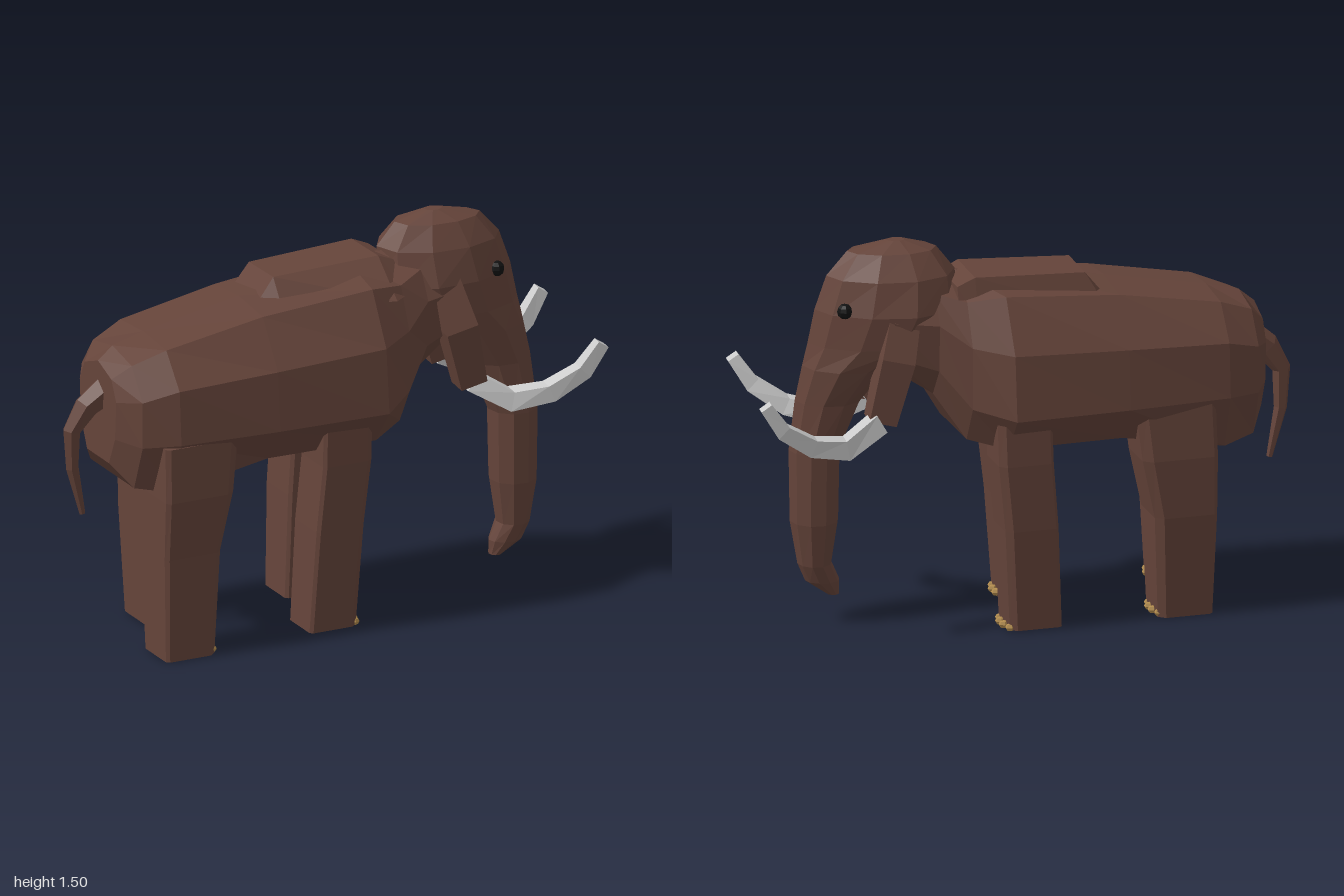
import * as THREE from 'three';

const paint = (color) => new THREE.MeshStandardMaterial({ color, flatShading: true, roughness: 0.9 });

// Skin a closed solid over rings of [x, y, z] points, capped at both ends and wound outwards.
function loft(name, rings, material) {
  const n = rings[0].length, last = (rings.length - 1) * n;
  const pos = rings.flat(), index = [];
  for (let i = 0; i < rings.length - 1; i++) {
    for (let j = 0; j < n; j++) {
      const a = i * n + j, b = i * n + (j + 1) % n;
      index.push(a, b, a + n, b, b + n, a + n);
    }
  }
  for (const [base, flip] of [[0, true], [last, false]]) {
    const ring = rings[base / n];
    pos.push([0, 1, 2].map((k) => ring.reduce((s, p) => s + p[k], 0) / n));
    const c = pos.length - 1;
    for (let j = 0; j < n; j++) {
      const a = base + j, b = base + (j + 1) % n;
      index.push(...(flip ? [c, b, a] : [c, a, b]));
    }
  }
  // signed volume tells whether the faces look inwards
  let volume = 0;
  const v = pos.map((p) => new THREE.Vector3(...p));
  for (let i = 0; i < index.length; i += 3) {
    volume += v[index[i]].dot(v[index[i + 1]].clone().cross(v[index[i + 2]]));
  }
  if (volume < 0) index.reverse();
  const geo = new THREE.BufferGeometry();
  geo.setAttribute('position', new THREE.Float32BufferAttribute(pos.flat(), 3));
  geo.setIndex(index);
  geo.computeVertexNormals();
  const mesh = new THREE.Mesh(geo, material);
  mesh.name = name;
  return mesh;
}

// Tapering limb along [x, y, z, radius] points that run mostly in the yz plane.
function taper(name, path, sides, material) {
  const rings = path.map(([x, y, z, r], i) => {
    const p = path[Math.max(i - 1, 0)], q = path[Math.min(i + 1, path.length - 1)];
    const len = Math.hypot(q[1] - p[1], q[2] - p[2]);
    const ny = (q[2] - p[2]) / len, nz = -(q[1] - p[1]) / len;
    return Array.from({ length: sides }, (_, j) => {
      const t = ((j + 0.5) / sides) * Math.PI * 2;
      const up = Math.sin(t) * r;
      return [x + Math.cos(t) * r, y + up * ny, z + up * nz];
    });
  });
  return loft(name, rings, material);
}

export function createModel() {
  const hide = paint(0x65443a), ivory = paint(0xcccccc);
  const horn = paint(0xb08a4c), black = paint(0x111111);
  const model = new THREE.Group();

  // The animal stands turned away; its head turns a little further
  const body = new THREE.Group();
  body.name = 'body';
  body.position.set(-0.039, 0, -0.022);
  body.rotation.y = THREE.MathUtils.degToRad(150);
  const head = new THREE.Group();
  head.name = 'head';
  head.position.set(-0.085, 0, -0.065);
  head.rotation.y = THREE.MathUtils.degToRad(144);
  model.add(body, head);

  // Torso and neck: z, top, then [x, y] of shoulder, side, crease and belly
  const torso = [
    [-1.04, 1.14, [0.11, 1.1], [0.15, 1.02], [0.14, 0.87], [0.09, 0.76]],
    [-0.98, 1.19, [0.16, 1.16], [0.25, 1.04], [0.25, 0.86], [0.18, 0.68]],
    [-0.85, 1.225, [0.19, 1.21], [0.3, 1.08], [0.315, 0.87], [0.24, 0.66]],
    [-0.45, 1.3, [0.2, 1.28], [0.325, 1.1], [0.345, 0.87], [0.24, 0.73]],
    [0.0, 1.37, [0.22, 1.32], [0.335, 1.12], [0.36, 0.87], [0.25, 0.73]],
    [0.14, 1.38, [0.18, 1.3], [0.25, 1.14], [0.25, 0.9], [0.17, 0.76]],
    [0.25, 1.39, [0.13, 1.33], [0.19, 1.22], [0.18, 1.04], [0.1, 0.93]],
    [0.42, 1.4, [0.1, 1.35], [0.17, 1.24], [0.15, 1.1], [0.07, 1.04]],
  ];
  body.add(loft('torso', torso.map(([z, top, ...half]) => [
    [0, top, z],
    ...half.map(([x, y]) => [x, y, z]),
    ...half.slice().reverse().map(([x, y]) => [-x, y, z]),
  ]), hide));

  // Shoulder hump, steep on the left and sloping into the right shoulder:
  // z, top, right crest x, right foot x
  const hump = [[-0.4, 1.285, -0.06, -0.1], [-0.33, 1.37, -0.05, -0.13], [0.1, 1.39, -0.07, -0.23], [0.17, 1.36, -0.06, -0.18]];
  body.add(loft('shoulderHump', hump.map(([z, top, crest, foot]) => [
    [crest, top, z], [0.15, top - 0.005, z], [0.19, 1.24, z], [foot, 1.26, z],
  ]), hide));

  // Legs: a squarish section with cut corners, and toenails along the front.
  // Rows: y, x (0 keeps the foot's own), z shift, half width, half depth
  const corners = [[1, 0.75], [0.75, 1], [-0.75, 1], [-1, 0.75], [-1, -0.88], [-0.88, -1], [0.88, -1], [1, -0.88]];
  const hind = [[0.015, 0, 0, 0.095, 0.105], [0.42, 0.205, 0.01, 0.112, 0.12],
    [0.65, 0.21, 0.035, 0.118, 0.145], [0.86, 0.205, 0.05, 0.11, 0.155]];
  const fore = [[0.02, 0, 0, 0.09, 0.1], [0.42, 0.205, 0.025, 0.1, 0.102],
    [0.68, 0.215, 0.05, 0.1, 0.105], [0.86, 0.215, 0.055, 0.095, 0.105]];
  for (const [name, side, foot, z0, rows] of [
    ['hindLegLeft', 1, 0.175, -0.69, hind], ['hindLegRight', -1, 0.22, -0.805, hind],
    ['frontLegLeft', 1, 0.18, -0.105, fore], ['frontLegRight', -1, 0.2, -0.195, fore],
  ]) {
    body.add(loft(name, rows.map(([y, x, dz, w, d]) =>
      corners.map(([cx, cz]) => [side * (x || foot) + cx * w, y, z0 + dz + cz * d])), hide));
    for (let i = 0; i < 4; i++) {
      const nail = new THREE.Mesh(new THREE.SphereGeometry(0.016, 6, 4), horn);
      nail.name = 'toenail';
      nail.scale.z = 1.4;
      nail.position.set(side * foot + (i - 1.5) * 0.043, 0.03, z0 + (i % 3 ? 0.108 : 0.095));
      body.add(nail);
    }
  }

  // Tail
  body.add(taper('tail', [
    [0, 1.02, -1.0, 0.06], [0.01, 0.96, -1.085, 0.05], [0.02, 0.87, -1.14, 0.036],
    [0.025, 0.72, -1.135, 0.026], [0.03, 0.53, -1.09, 0.012],
  ], 6, hide));

  // Skull running down into the trunk: y, centre x, back z, front z, half width, narrowing to the front
  const skull = [
    [1.515, -0.03, 0.32, 0.39, 0.025, 0.1], [1.48, -0.03, 0.2, 0.54, 0.09, 0.1],
    [1.39, -0.025, 0.13, 0.62, 0.15, 0.1], [1.26, -0.025, 0.12, 0.665, 0.185, 0.2],
    [1.13, -0.03, 0.19, 0.69, 0.17, 0.2], [1.04, -0.035, 0.37, 0.71, 0.145, 0.1],
    [0.9, -0.05, 0.48, 0.735, 0.115, 0.05], [0.7, -0.067, 0.56, 0.755, 0.102, 0],
    [0.42, -0.07, 0.565, 0.75, 0.096, 0], [0.25, -0.074, 0.59, 0.72, 0.072, 0],
    [0.18, -0.075, 0.56, 0.69, 0.055, 0], [0.125, -0.075, 0.56, 0.61, 0.03, 0],
  ];
  const sides = 10;
  head.add(loft('skullAndTrunk', skull.map(([y, x, back, front, w, narrow]) =>
    Array.from({ length: sides }, (_, j) => {
      const t = (j / sides) * Math.PI * 2, c = Math.cos(t);
      return [x + Math.sin(t) * w * (1 - narrow * c), y, (back + front) / 2 + c * (front - back) / 2];
    })), hide));

  // Tusks, the hanging cheek flaps that hold them, and eyes
  for (const s of [1, -1]) {
    head.add(taper('tusk', [
      [s * 0.16, 0.865, 0.45, 0.055], [s * 0.215, 0.785, 0.59, 0.054], [s * 0.265, 0.815, 0.73, 0.048],
      [s * 0.3, 0.895, 0.85, 0.042], [s * 0.315, 1.0, 0.92, 0.033],
    ], 4, ivory));
    head.add(taper('cheekFlap', [
      [s * 0.1 - 0.03, 1.29, 0.34, 0.08], [s * 0.165 - 0.035, 1.1, 0.385, 0.09], [s * 0.155 - 0.02, 0.86, 0.445, 0.075],
    ], 4, hide));
    const eye = new THREE.Mesh(new THREE.SphereGeometry(0.03, 8, 6), black);
    eye.name = 'eye';
    eye.position.set(-0.025 + s * 0.108, 1.28, 0.57);
    head.add(eye);
  }
  return model;
}
